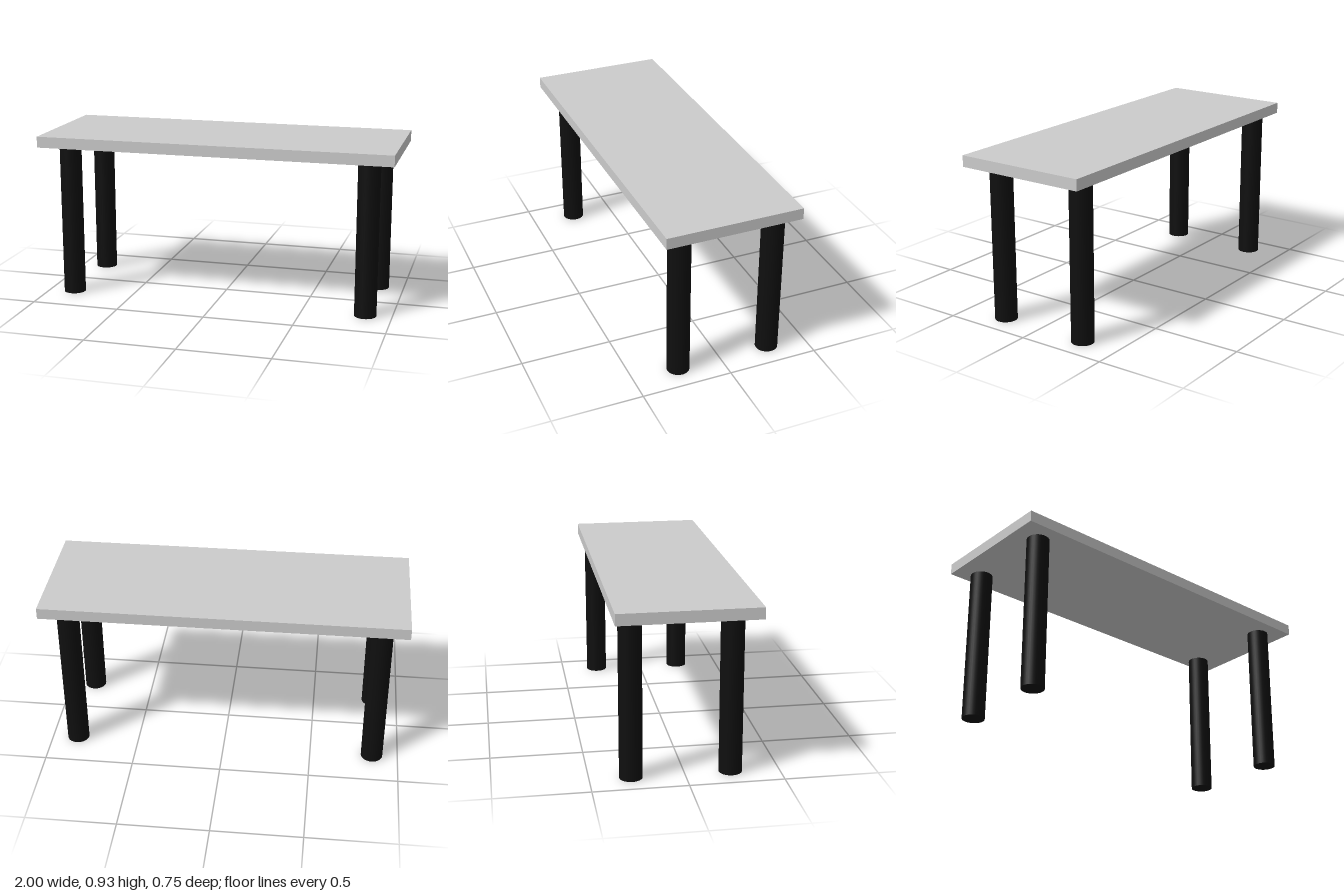
import * as THREE from 'three';

export function createModel() {
  const model = new THREE.Group();
  model.name = 'table';

  const topMaterial = new THREE.MeshStandardMaterial({ color: 0xcccccc });
  const legMaterial = new THREE.MeshStandardMaterial({ color: 0x0f0f0f });

  const legHeight = 0.868;
  const topThickness = 0.062;

  // Flat rectangular slab
  const top = new THREE.Mesh(new THREE.BoxGeometry(2, topThickness, 0.746), topMaterial);
  top.name = 'tableTop';
  top.position.y = legHeight + topThickness / 2;
  model.add(top);

  // Four round legs, the row set slightly towards the back
  const legGeometry = new THREE.CylinderGeometry(0.0615, 0.0615, legHeight, 32);
  for (const [end, z] of [['front', 0.242], ['back', -0.283]]) {
    for (const [side, x] of [['Left', 0.853], ['Right', -0.853]]) {
      const leg = new THREE.Mesh(legGeometry, legMaterial);
      leg.name = `${end}${side}Leg`;
      leg.position.set(x, legHeight / 2, z);
      model.add(leg);
    }
  }

  return model;
}
